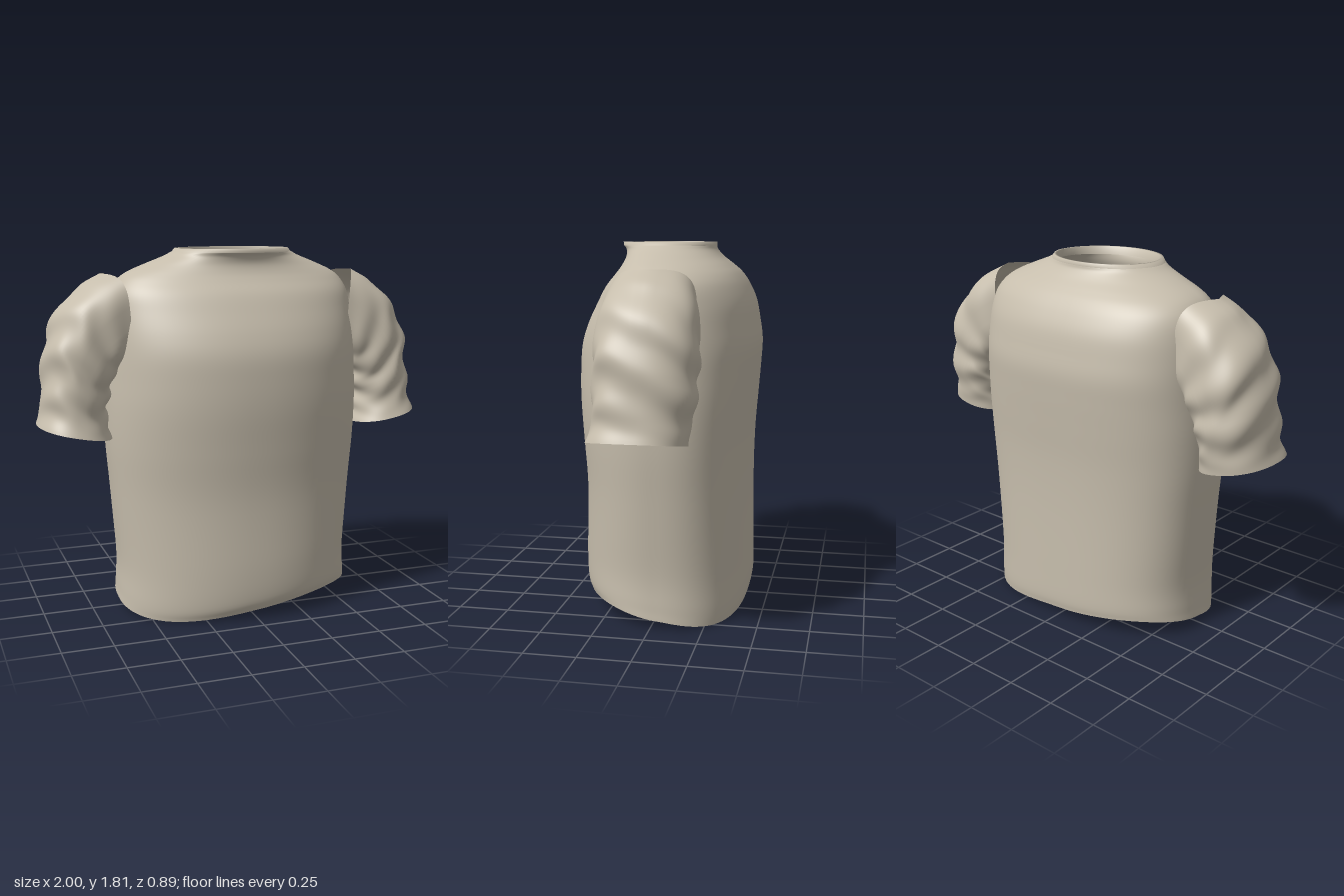
import * as THREE from 'three';

const V = (x, y, z = 0) => new THREE.Vector3(x, y, z);
const spline = (pts) => new THREE.CatmullRomCurve3(pts.map((p) => V(...p)), false, 'catmullrom', 0.5);
const spow = (v, e) => Math.sign(v) * Math.pow(Math.abs(v), e);

// Skin a stack of closed rings: point(t, angle) gives a position.
function loft(rows, cols, point, flip = false) {
  const pos = [], idx = [];
  for (let i = 0; i <= rows; i++) {
    for (let j = 0; j < cols; j++) pos.push(...point(i / rows, (j / cols) * Math.PI * 2).toArray());
  }
  for (let i = 0; i < rows; i++) {
    for (let j = 0; j < cols; j++) {
      const k = (j + 1) % cols;
      const a = i * cols + j, b = i * cols + k, c = a + cols, d = b + cols;
      if (flip) idx.push(a, b, c, b, d, c);
      else idx.push(a, c, b, b, c, d);
    }
  }
  const g = new THREE.BufferGeometry();
  g.setAttribute('position', new THREE.Float32BufferAttribute(pos, 3));
  g.setIndex(idx);
  g.computeVertexNormals();
  return g;
}

// Horizontal outline with separate front and back depths.
function outline(a, half, front, back, y, nFront, nBack) {
  const s = Math.sin(a), n = s > 0 ? nFront : nBack;
  return V(half * spow(Math.cos(a), 2 / n), y, (s > 0 ? front : back) * spow(s, 2 / n));
}

export function createModel() {
  const group = new THREE.Group();
  const fabric = new THREE.MeshStandardMaterial({ color: 0xc6bdac, side: THREE.DoubleSide });
  fabric.name = 'beige fabric';
  const add = (name, geometry) => {
    const m = new THREE.Mesh(geometry, fabric);
    m.name = name;
    group.add(m);
  };

  // Torso sections: height, half width, front depth, back depth
  const sections = [
    [0, 0.615, 0.405, 0.405], [0.07, 0.61, 0.425, 0.412], [0.25, 0.605, 0.43, 0.41],
    [0.6, 0.63, 0.42, 0.405], [0.85, 0.65, 0.435, 0.41], [1.05, 0.655, 0.448, 0.425],
    [1.2, 0.65, 0.447, 0.437], [1.32, 0.645, 0.437, 0.443], [1.42, 0.64, 0.405, 0.43],
    [1.52, 0.63, 0.355, 0.41], [1.6, 0.615, 0.31, 0.375], [1.66, 0.58, 0.262, 0.335],
    [1.7, 0.53, 0.235, 0.295], [1.74, 0.44, 0.222, 0.25], [1.775, 0.35, 0.228, 0.222],
    [1.797, 0.305, 0.245, 0.215],
  ];
  const sides = spline(sections.map(([y, w]) => [w, y]));
  const depths = spline(sections.map(([, , f, b]) => [f, b]));
  add('torso', loft(90, 96, (t, a) => {
    const s = sides.getPoint(t), d = depths.getPoint(t);
    const neck = THREE.MathUtils.smoothstep(s.y, 1.62, 1.79);
    const p = outline(a, s.x, d.x, d.y, s.y, 2.15 - 0.15 * neck, 2.6 - 0.6 * neck);
    // wavy hem fading out upwards
    p.y += (0.045 + 0.045 * Math.sin(2 * a)) * Math.max(0, 1 - s.y / 0.4);
    return p;
  }));

  // Collar: narrow rim turned into the neck
  const rim = [[1.795, 0.306, 0.247, 0.218], [1.814, 0.288, 0.249, 0.217], [1.814, 0.274, 0.235, 0.208], [1.775, 0.28, 0.222, 0.212]];
  add('collar', loft(rim.length - 1, 96, (t, a) => {
    const [y, w, f, b] = rim[Math.round(t * (rim.length - 1))];
    return outline(a, w, f, b, y, 2, 2);
  }));

  // Puffed sleeves, open at the shoulder and at the hem
  const outer = spline([[0.67, 1.697], [0.775, 1.635], [0.865, 1.54], [0.93, 1.42], [0.95, 1.3], [0.97, 1.17], [0.972, 1.06], [1, 0.973]]);
  const inner = spline([[0.64, 1.3], [0.64, 1.25], [0.645, 1.2], [0.65, 1.14], [0.655, 1.08], [0.66, 1.02], [0.655, 0.96], [0.64, 0.902]]);
  const depth = spline([[0.2, -0.015], [0.222, -0.02], [0.23, -0.024], [0.232, -0.025], [0.23, -0.025], [0.228, -0.02], [0.218, -0.008], [0.228, 0.01]]);
  const sleeve = (side) => loft(56, 72, (t, a) => {
    const n = 3.5 - 1.2 * Math.min(1, t * 1.6);
    const c = spow(Math.cos(a), 2 / n), s = spow(Math.sin(a), 2 / n);
    const p = outer.getPoint(t).lerp(inner.getPoint(t), (1 - c) / 2);
    const d = depth.getPoint(t);
    // shoulder edge bows over the torso; soft wrinkles fade at both ends
    const bow = 0.09 * Math.pow(1 - t, 3) * Math.abs(s);
    const wrinkle = 1 + 0.04 * Math.sin(Math.PI * t) * Math.sin(t * 24 + 2.2 * Math.sin(a * 2 + 0.6));
    p.x = side * (p.x - bow + 0.012 * c * Math.sin(Math.PI * t) * Math.sin(t * 24 + 3 * a));
    p.z = d.y + d.x * s * wrinkle;
    return p;
  }, side > 0);
  add('leftSleeve', sleeve(1));
  add('rightSleeve', sleeve(-1));

  return group;
}
